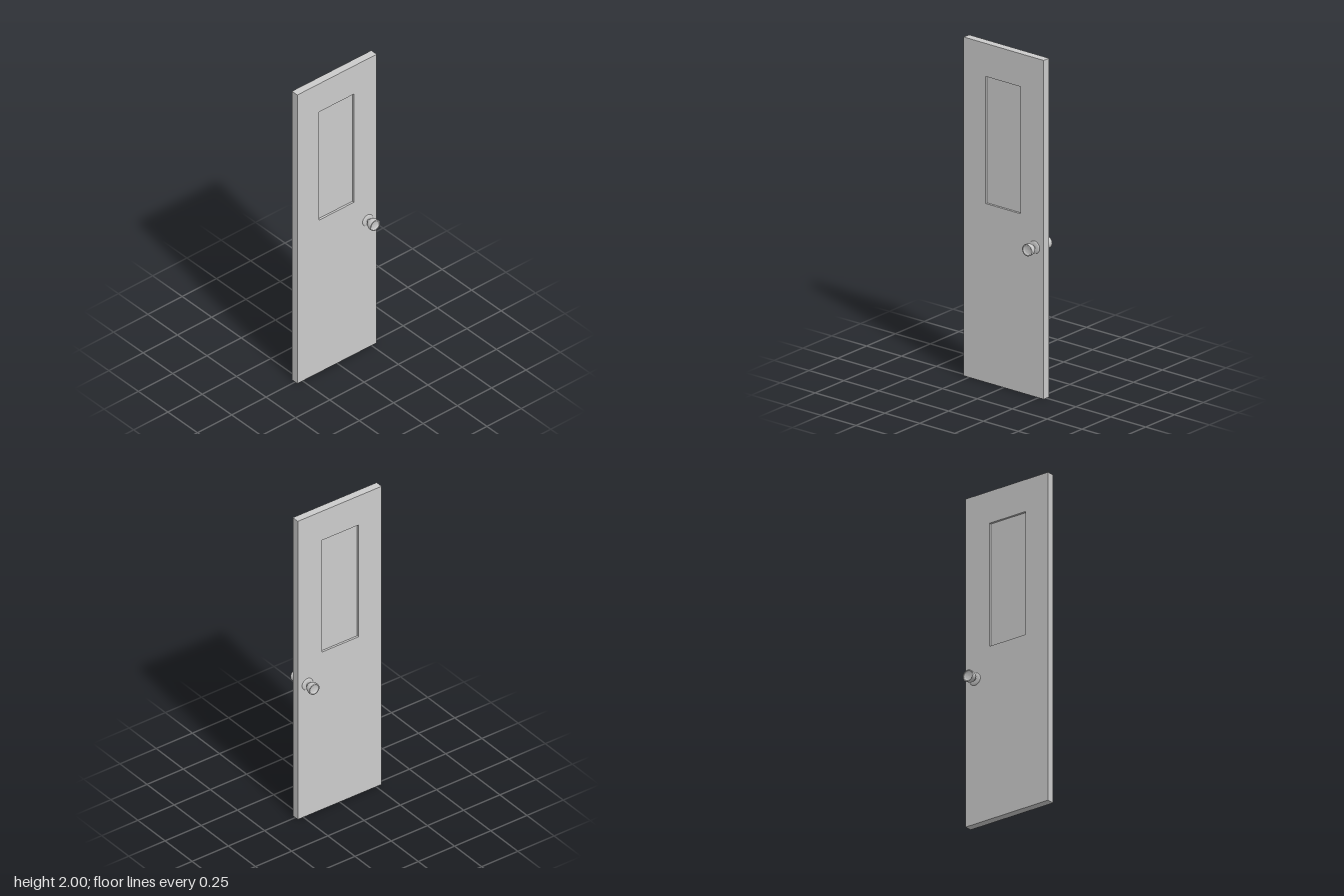
import * as THREE from 'three';

const grey = new THREE.MeshStandardMaterial({ color: 0xcccccc });
grey.name = 'light grey';
grey.side = THREE.DoubleSide;

const T = 0.046; // door thickness

function add(parent, geometry, name) {
  const mesh = new THREE.Mesh(geometry, grey);
  mesh.name = name;
  parent.add(mesh);
  return mesh;
}

function lathe(points) {
  return new THREE.LatheGeometry(points.map(([r, h]) => new THREE.Vector2(r, h)), 32);
}

// Door knob with its axis along +y, starting at the door surface
function createKnob() {
  const knob = new THREE.Group();
  add(knob, lathe([
    [0.037, -0.002], [0.037, 0.001], [0.034, 0.004], [0.026, 0.006], [0.011, 0.007],
  ]), 'rosette');
  const curve = new THREE.SplineCurve([
    [0.011, 0.006], [0.0115, 0.011], [0.018, 0.018], [0.026, 0.027],
    [0.032, 0.038], [0.0345, 0.049], [0.035, 0.065],
  ].map(([r, h]) => new THREE.Vector2(r, h)));
  add(knob, new THREE.LatheGeometry(curve.getPoints(18), 32), 'knobBody');
  add(knob, lathe([[0.035, 0.065], [0.029, 0.065]]), 'knobRim');
  add(knob, lathe([[0.029, 0.065], [0.026, 0.061], [0.018, 0.058], [0, 0.057]]), 'knobDish');
  return knob;
}

export function createModel() {
  const model = new THREE.Group();
  model.name = 'door';

  // Door modelled flat in x-y, then turned to stand almost along z
  const door = new THREE.Group();
  door.name = 'doorLeaf';
  door.position.x = -0.002;
  door.rotation.y = Math.PI / 2 - 0.006;
  model.add(door);

  // Slab with the panel opening
  const shape = new THREE.Shape([
    [-0.288, 0], [0.288, 0], [0.288, 2], [-0.288, 2],
  ].map(([x, y]) => new THREE.Vector2(x, y)));
  shape.holes.push(new THREE.Path([
    [-0.13, 1.055], [-0.13, 1.805], [0.122, 1.805], [0.122, 1.055],
  ].map(([x, y]) => new THREE.Vector2(x, y))));
  const slab = new THREE.ExtrudeGeometry(shape, { depth: T, bevelEnabled: false });
  slab.translate(0, 0, -T / 2);
  add(door, slab, 'slab');

  // Recessed panel
  const panel = add(door, new THREE.BoxGeometry(0.252, 0.75, 0.02), 'recessedPanel');
  panel.position.set(-0.004, 1.43, 0);

  // A knob on each side
  for (const side of [1, -1]) {
    const knob = createKnob();
    knob.name = side > 0 ? 'leftKnob' : 'rightKnob';
    knob.position.set(0.222, 0.882, side * T / 2);
    knob.rotation.x = side * Math.PI / 2;
    door.add(knob);
  }
  return model;
}
